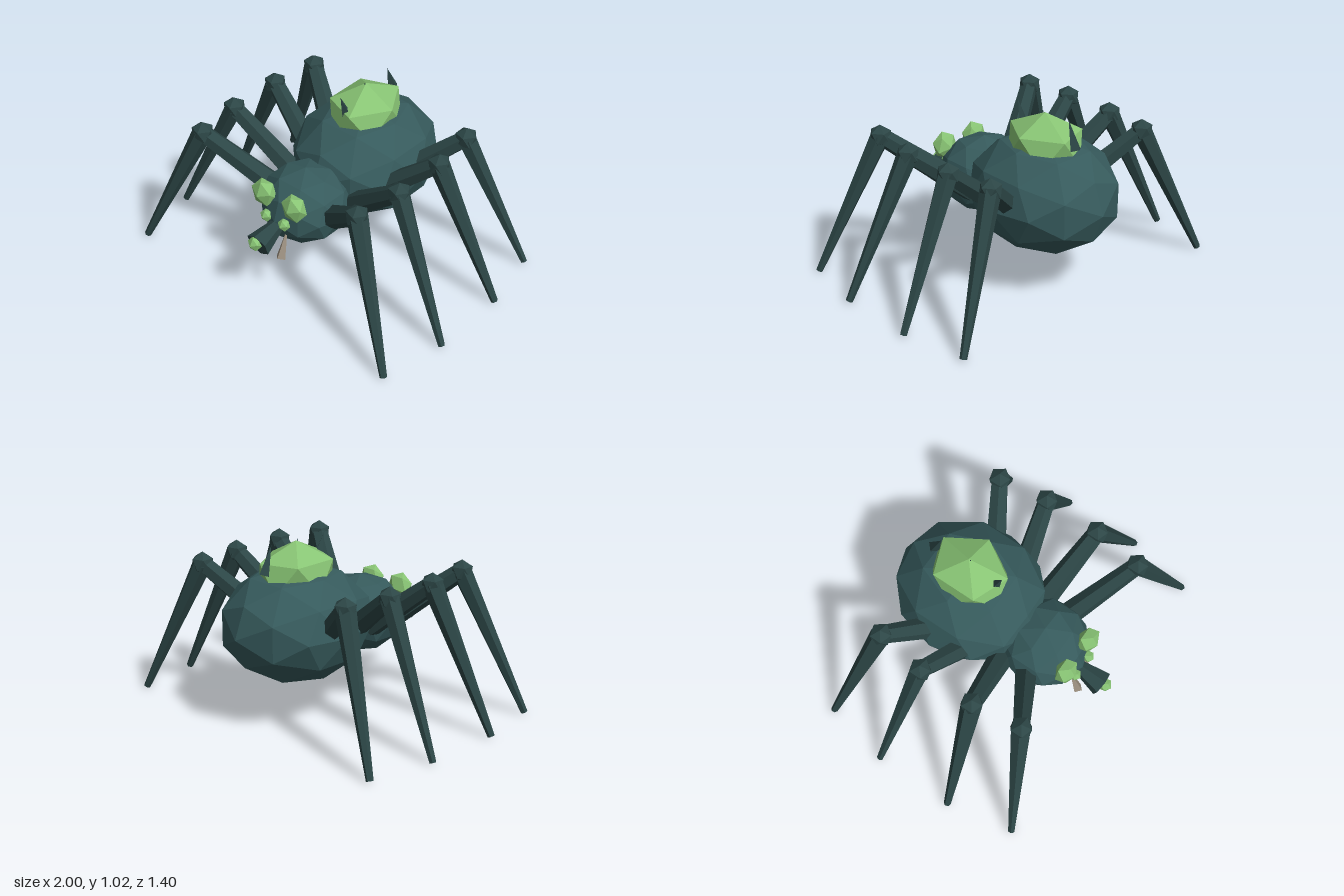
import * as THREE from 'three';

const V = (x, y, z) => new THREE.Vector3(x, y, z);
const flat = (color) => new THREE.MeshStandardMaterial({ color, flatShading: true });
const bodyMat = flat(0x365a5c);
const legMat = flat(0x2c4646);
const greenMat = flat(0x88c474);
const fangMat = flat(0x9c9080);

// Icosahedron standing on a corner, with one upper-ring corner towards +x
function gemGeometry() {
  const g = new THREE.IcosahedronGeometry(1, 0);
  g.rotateX(-Math.atan((1 + Math.sqrt(5)) / 2));
  g.rotateY(Math.PI / 2);
  return g;
}

// Same gem with its corner facing forward and the front ring pointing up
function eyeGeometry() {
  const g = gemGeometry();
  g.rotateY(Math.PI / 2);
  g.rotateX(Math.PI / 2);
  return g;
}

function addMesh(parent, name, geo, mat, pos, scale) {
  const m = new THREE.Mesh(geo, mat);
  m.name = name;
  m.position.copy(pos);
  if (scale) m.scale.copy(scale);
  parent.add(m);
  return m;
}

// Tapered bar from a (radius ra) to b (radius rb)
function addBar(parent, name, a, b, ra, rb, sides, mat) {
  const dir = b.clone().sub(a);
  const geo = new THREE.CylinderGeometry(rb, ra, dir.length(), sides);
  const m = addMesh(parent, name, geo, mat, a.clone().add(b).multiplyScalar(0.5));
  m.quaternion.setFromUnitVectors(V(0, 1, 0), dir.normalize());
  return m;
}

export function createModel() {
  const root = new THREE.Group();
  root.name = 'spider';

  // Body
  const ball = new THREE.IcosahedronGeometry(1, 1);
  addMesh(root, 'abdomen', ball, bodyMat, V(0, 0.55, -0.25), V(0.4, 0.33, 0.45));
  addMesh(root, 'head', ball, bodyMat, V(0, 0.485, 0.25), V(0.255, 0.225, 0.26));

  // Crystal on the back, with a row of spikes along the middle
  addMesh(root, 'backCrystal', gemGeometry(), greenMat, V(0, 0.83, -0.25), V(0.21, 0.18, 0.25));
  for (const z of [-0.035, -0.235, -0.43]) {
    addBar(root, 'backSpike', V(0, 0.865, z - 0.055), V(0, 1.02, z), 0.036, 0, 4, legMat);
  }

  // Snout with a glowing tip
  addBar(root, 'snout', V(0, 0.465, 0.44), V(0, 0.405, 0.64), 0.03, 0.075, 6, legMat);
  addMesh(root, 'snoutTip', eyeGeometry(), greenMat, V(0, 0.43, 0.66), V(0.042, 0.045, 0.04));

  // Eyes and fangs
  for (const s of [1, -1]) {
    addMesh(root, 'largeEye', eyeGeometry(), greenMat, V(s * 0.11, 0.61, 0.465), V(0.08, 0.085, 0.06));
    addMesh(root, 'smallEye', eyeGeometry(), greenMat, V(s * 0.065, 0.495, 0.5), V(0.037, 0.037, 0.035));
    addBar(root, 'fang', V(s * 0.06, 0.41, 0.482), V(s * 0.06, 0.278, 0.525), 0.008, 0.031, 4, fangMat);
  }

  // Legs, front to back: hip, knee and foot
  const legs = [
    [V(0.21, 0.49, 0.27), V(0.56, 0.8, 0.475), V(0.9, 0.008, 0.65)],
    [V(0.22, 0.49, 0.105), V(0.6, 0.8, 0.185), V(0.98, 0.008, 0.26)],
    [V(0.22, 0.49, -0.07), V(0.6, 0.8, -0.15), V(0.98, 0.008, -0.215)],
    [V(0.21, 0.49, -0.235), V(0.56, 0.8, -0.44), V(0.9, 0.008, -0.605)],
  ];
  const knee = gemGeometry();
  for (const side of [1, -1]) {
    for (const points of legs) {
      const [hip, kneePos, foot] = points.map((p) => V(p.x * side, p.y, p.z));
      const leg = new THREE.Group();
      leg.name = side > 0 ? 'leftLeg' : 'rightLeg';
      addBar(leg, 'upperLeg', hip, kneePos, 0.068, 0.05, 6, legMat);
      addMesh(leg, 'knee', knee, legMat, kneePos, V(0.067, 0.067, 0.067));
      addBar(leg, 'lowerLeg', kneePos, foot, 0.058, 0.02, 6, legMat);
      root.add(leg);
    }
  }
  return root;
}
